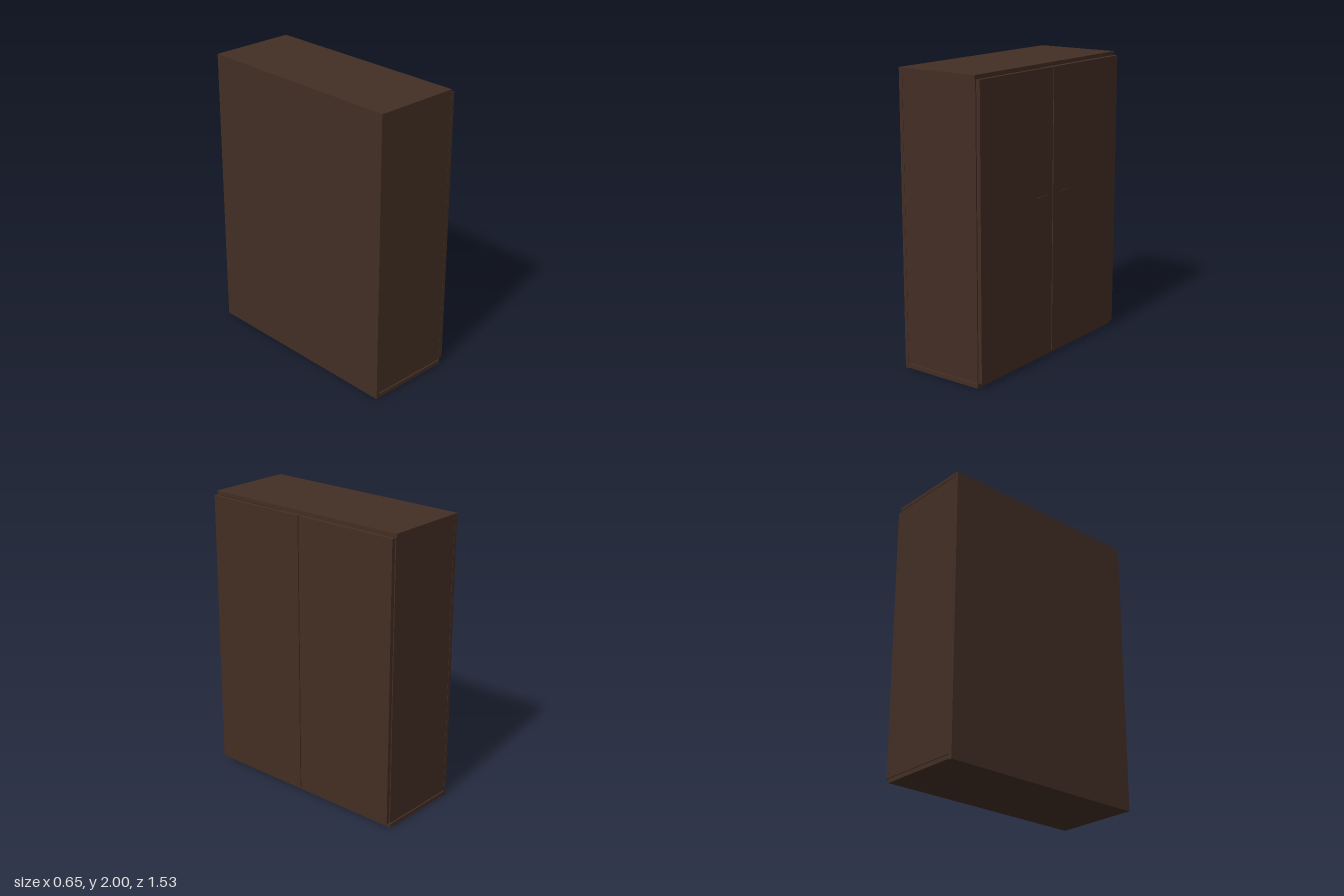
import * as THREE from 'three';

const brown = new THREE.MeshStandardMaterial({ color: 0x432e24 });
brown.name = 'dark brown wood';

export function createModel() {
  const group = new THREE.Group();
  group.name = 'wardrobe';

  // Adds a board spanning the given minimum and maximum on each axis
  const board = (name, [x0, x1], [y0, y1], [z0, z1]) => {
    const geometry = new THREE.BoxGeometry(x1 - x0, y1 - y0, z1 - z0);
    geometry.translate((x0 + x1) / 2, (y0 + y1) / 2, (z0 + z1) / 2);
    const mesh = new THREE.Mesh(geometry, brown);
    mesh.name = name;
    group.add(mesh);
  };

  // Carcass: full-height back, top and a base with a thin gap above it
  board('backPanel', [-0.326, -0.3], [0, 2], [-0.764, 0.764]);
  board('topPanel', [-0.3, 0.286], [1.975, 2], [-0.766, 0.766]);
  board('basePanel', [-0.3, 0.286], [0.004, 0.032], [-0.766, 0.766]);

  // Mirrored sides, doors and handles
  for (const [side, s] of [['left', 1], ['right', -1]]) {
    const span = (a, b) => (s > 0 ? [a, b] : [-b, -a]);
    board(side + 'SidePanel', [-0.3, 0.286], [0.038, 1.975], span(0.736, 0.762));
    board(side + 'Door', [0.291, 0.318], [0.04, 1.974], span(0.004, 0.759));
    board(side + 'Handle', [0.318, 0.324], [1.132, 1.139], span(0.07, 0.17));
  }
  return group;
}
